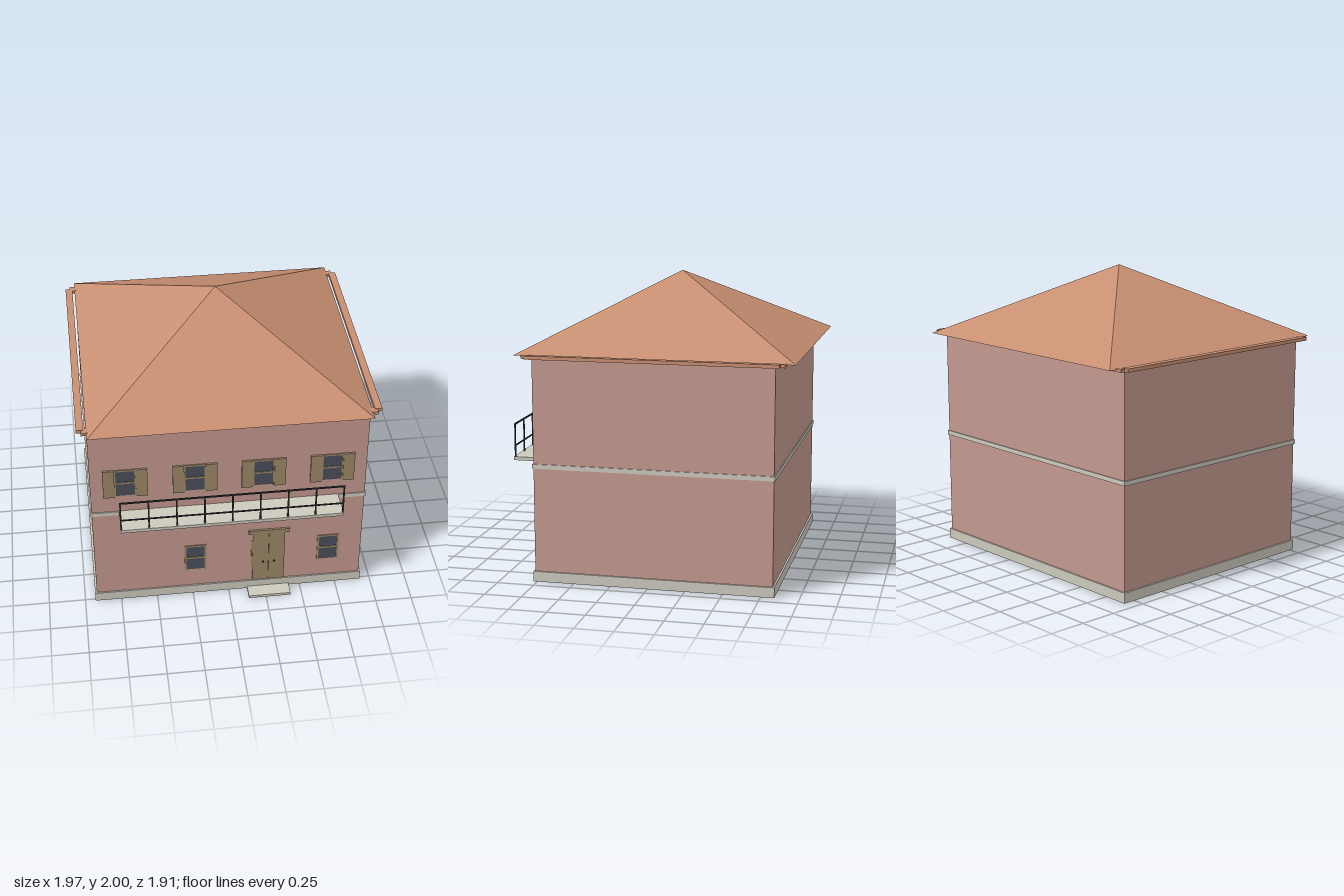
import * as THREE from 'three';

const mat = (name, color) => {
  const m = new THREE.MeshStandardMaterial({ color });
  m.name = name;
  return m;
};

export function createModel() {
  const plaster = mat('pink plaster', 0xc4988f);
  const stone = mat('pale stone', 0xccc9bd);
  const tile = mat('terracotta', 0xc88f72);
  const wood = mat('olive wood', 0x9c8766);
  const iron = mat('dark iron', 0x2c2f35);
  const glass = mat('dark glass', 0x4a4d5a);

  const house = new THREE.Group();
  house.name = 'house';

  // Box given by its limits on each axis
  const box = (name, material, x0, x1, y0, y1, z0, z1, parent = house) => {
    const mesh = new THREE.Mesh(new THREE.BoxGeometry(x1 - x0, y1 - y0, z1 - z0), material);
    mesh.position.set((x0 + x1) / 2, (y0 + y1) / 2, (z0 + z1) / 2);
    mesh.name = name;
    parent.add(mesh);
    return mesh;
  };
  const group = (name, x = 0, y = 0, z = 0) => {
    const g = new THREE.Group();
    g.name = name;
    g.position.set(x, y, z);
    house.add(g);
    return g;
  };

  const midZ = -0.035;
  const wallZ = 0.761;

  // Body, plinth and string course
  box('walls', plaster, -0.918, 0.918, 0.07, 1.51, -0.829, wallZ);
  box('plinth', stone, -0.93, 0.93, 0.004, 0.073, -0.841, 0.771);
  box('stringCourse', stone, -0.925, 0.925, 0.77, 0.8, -0.836, 0.768);

  // Hipped roof
  const roofGeo = new THREE.ConeGeometry(0.92 * Math.SQRT2, 0.485, 4, 1).toNonIndexed();
  roofGeo.rotateY(Math.PI / 4);
  roofGeo.computeVertexNormals();
  const roof = new THREE.Mesh(roofGeo, tile);
  roof.name = 'roof';
  roof.position.set(0, 1.515 + 0.485 / 2, midZ);
  house.add(roof);

  // Eaves beams: long ones beside the roof, cross ones under its front and back
  const eaves = group('eaves', 0, 0, midZ);
  for (const s of [-1, 1]) {
    const side = box('sideEavesBeam', tile, 0.935, 0.983, 1.5, 1.524, -0.828, 0.828, eaves);
    side.position.x *= s;
    const cross = box('crossEavesBeam', tile, -0.953, 0.953, 1.5, 1.522, 0.808, 0.859, eaves);
    cross.position.z *= s;
  }

  // Window frame, glass and optional shutters
  const addWindow = (name, x, y, h, shutters) => {
    const g = group(name, x, y, wallZ);
    box('glass', glass, -0.07, 0.07, 0.005, h - 0.005, -0.004, 0.001, g);
    for (const s of [-1, 1]) {
      const post = box('framePost', wood, 0.062, 0.075, 0, h, -0.004, 0.006, g);
      post.position.x *= s;
      if (shutters) {
        const leaf = box('shutter', wood, 0.071, 0.147, 0, h, 0, 0.013, g);
        leaf.position.x *= s;
      }
    }
    for (const y0 of [h - 0.015, h / 2 - 0.007])
      box('frameBar', wood, -0.07, 0.07, y0, y0 + 0.014, -0.004, 0.005, g);
  };
  for (const x of [-0.687, -0.228, 0.228, 0.687]) addWindow('upperWindow', x, 0.928, 0.223, true);
  for (const x of [-0.23, 0.23, 0.687]) addWindow('lowerWindow', x, 0.215, 0.225, false);

  // Double door with lintel, knobs and step
  const door = group('door', 0.275, 0, wallZ);
  for (const s of [-1, 1]) {
    const leaf = box('doorLeaf', wood, 0.001, 0.11, 0.078, 0.508, -0.004, 0.009, door);
    leaf.position.x *= s;
    const knob = new THREE.Mesh(new THREE.SphereGeometry(0.007, 12, 8), iron);
    knob.name = 'doorKnob';
    knob.position.set(s * 0.039, 0.252, 0.02);
    door.add(knob);
    const stem = new THREE.Mesh(new THREE.CylinderGeometry(0.003, 0.003, 0.016, 8), iron);
    stem.name = 'knobStem';
    stem.rotation.x = Math.PI / 2;
    stem.position.set(s * 0.039, 0.252, 0.012);
    door.add(stem);
  }
  box('doorLintel', wood, -0.14, 0.14, 0.504, 0.535, 0, 0.014, door);
  box('doorStep', stone, -0.146, 0.146, 0, 0.02, 0, 0.107, door);

  // Balcony slab and front railing
  const balcony = group('balcony');
  box('balconySlab', stone, -0.737, 0.737, 0.776, 0.8, 0.76, 0.957, balcony);
  for (const [y, t] of [[1.022, 0.005], [0.877, 0.004]])
    box('rail', iron, -0.739, 0.739, y - t, y + t, 0.942, 0.95, balcony);
  for (let i = -4; i <= 4; i++) {
    const x = i * 0.1835;
    box('railPost', iron, x - 0.005, x + 0.005, 0.798, 1.022, 0.942, 0.95, balcony);
  }
  return house;
}
